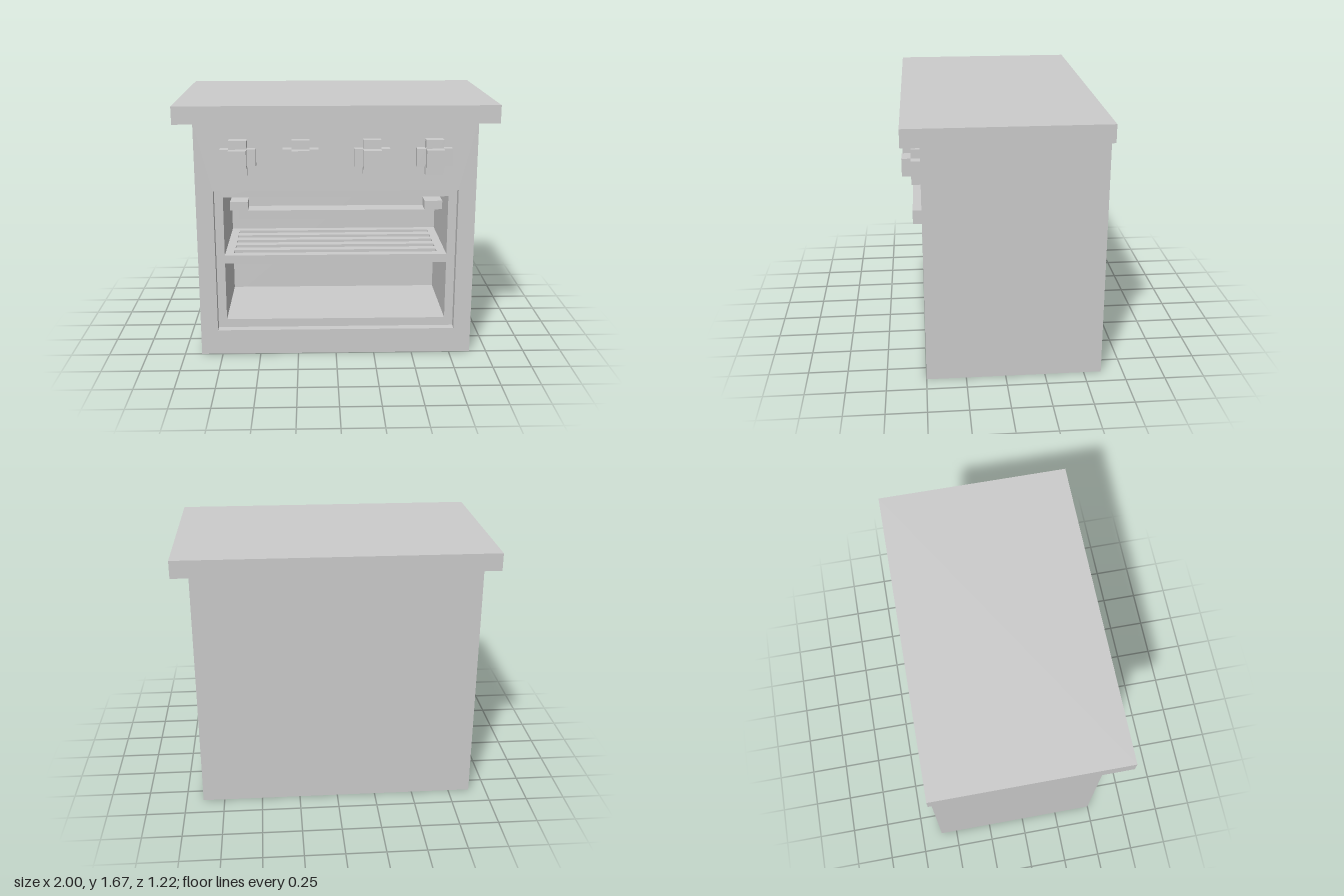
import * as THREE from 'three';

// All parts sit on a grid of 1/18 unit.
const U = 1 / 18;
const material = new THREE.MeshStandardMaterial({ color: 0xcccccc, flatShading: true });

function add(parent, name, geometry) {
  const mesh = new THREE.Mesh(geometry, material);
  mesh.name = name;
  parent.add(mesh);
  return mesh;
}

// Box given by its lower and upper corners in grid units
function box(parent, name, [x0, y0, z0], [x1, y1, z1]) {
  const mesh = add(parent, name, new THREE.BoxGeometry((x1 - x0) * U, (y1 - y0) * U, (z1 - z0) * U));
  mesh.position.set((x0 + x1) / 2 * U, (y0 + y1) / 2 * U, (z0 + z1) / 2 * U);
  return mesh;
}

function rectangle(path, x0, y0, x1, y1) {
  path.moveTo(x0 * U, y0 * U);
  path.lineTo(x1 * U, y0 * U);
  path.lineTo(x1 * U, y1 * U);
  path.lineTo(x0 * U, y1 * U);
  path.closePath();
  return path;
}

// Slab of the body from z0 to z1 with one rectangular opening
function bodyRing(parent, name, halfWidth, bottom, top, z0, z1) {
  const shape = rectangle(new THREE.Shape(), -16, 0, 16, 28);
  shape.holes.push(rectangle(new THREE.Path(), -halfWidth, bottom, halfWidth, top));
  const geometry = new THREE.ExtrudeGeometry(shape, { depth: (z1 - z0) * U, bevelEnabled: false });
  geometry.translate(0, 0, z0 * U);
  return add(parent, name, geometry);
}

export function createModel() {
  const stove = new THREE.Group();
  stove.name = 'stove';

  // Body: solid back, hollow oven, recessed door surround
  const body = new THREE.Group();
  body.name = 'body';
  stove.add(body);
  box(body, 'bodyBack', [-16, 0, -11], [16, 28, -3]);
  bodyRing(body, 'ovenWalls', 13, 4, 19, -3, 8);
  bodyRing(body, 'frontFrame', 14, 3, 20, 8, 9);

  // Worktop overhanging front and sides
  box(stove, 'worktop', [-18, 28, -11], [18, 30, 11]);

  // Oven rack: two side rails and evenly spaced bars
  const rack = new THREE.Group();
  rack.name = 'ovenRack';
  stove.add(rack);
  for (const x of [-13, 12]) box(rack, 'rackRail', [x, 11, -3], [x + 1, 12, 8]);
  for (let z = -3; z < 8; z += 2) box(rack, 'rackBar', [-12, 11, z], [12, 12, z + 1]);

  // Door handle: bar hung from two brackets
  const handle = new THREE.Group();
  handle.name = 'doorHandle';
  stove.add(handle);
  box(handle, 'handleBar', [-11, 17, 8], [11, 18, 10]);
  for (const x of [-12, 10]) box(handle, 'handleBracket', [x, 18, 8], [x + 2, 19, 10]);

  // Knobs: plus-shaped base with a raised centre
  for (const x of [-11, -4, 4, 11]) {
    const knob = new THREE.Group();
    knob.name = 'knob';
    stove.add(knob);
    box(knob, 'knobCentre', [x - 1, 22, 9], [x + 1, 26, 10]);
    for (const side of [-2, 1]) box(knob, 'knobArm', [x + side, 23, 9], [x + side + 1, 25, 10]);
    box(knob, 'knobGrip', [x - 1, 23, 10], [x + 1, 25, 11]);
  }

  return stove;
}
